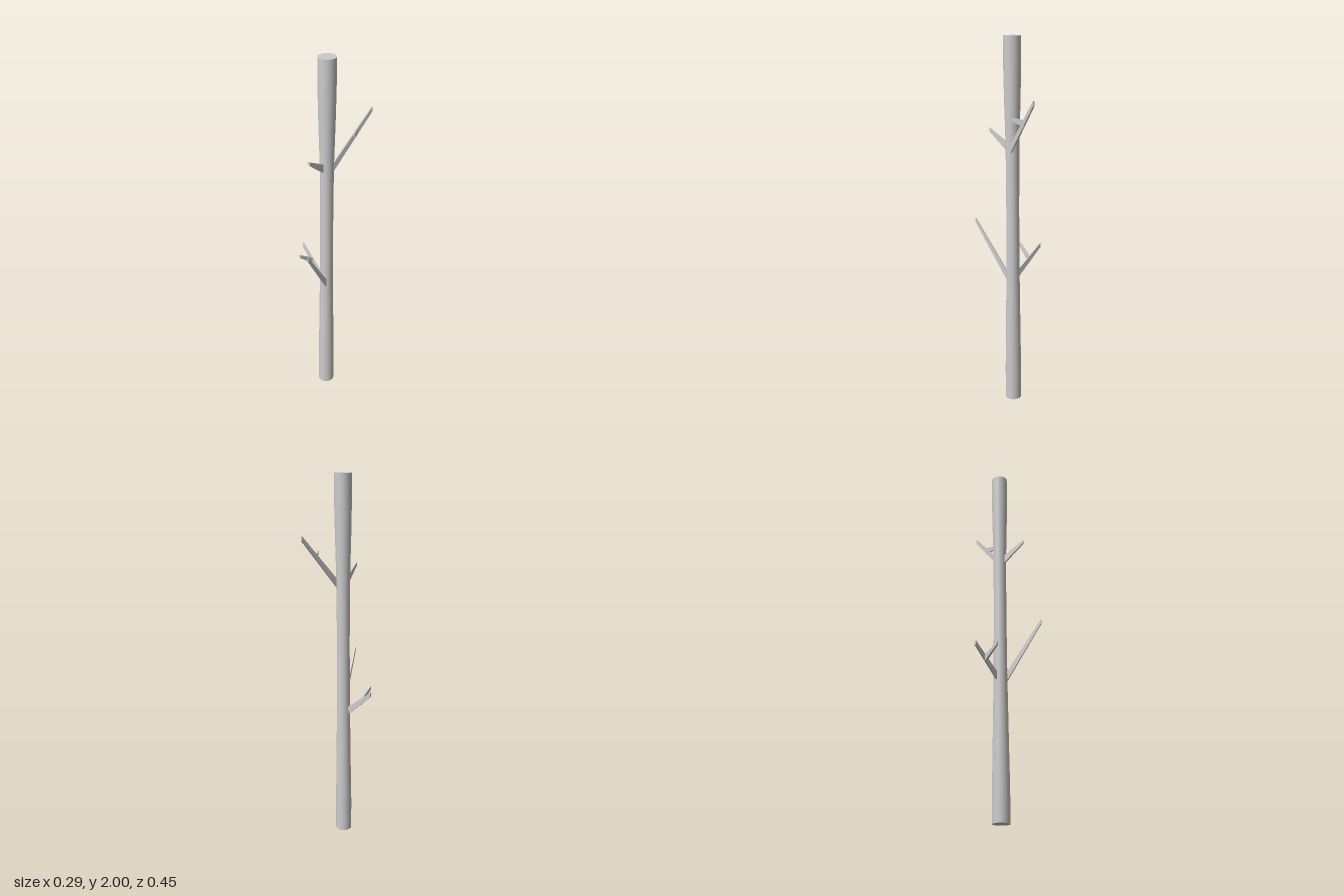
import * as THREE from 'three';

const material = new THREE.MeshStandardMaterial({ color: 0xcccccc });
const CX = 0.045, CZ = 0.016;

// Thin tapered beam from a to b; its ends are cut vertically. Sizes are [width, height].
function beam(name, a, b, startSize, endSize) {
  const A = new THREE.Vector3(...a), B = new THREE.Vector3(...b);
  const side = new THREE.Vector3(B.z - A.z, 0, A.x - B.x).normalize();
  const g = new THREE.BoxGeometry(1, 1, 1);
  const p = g.attributes.position;
  const v = new THREE.Vector3();
  for (let i = 0; i < p.count; i++) {
    const t = p.getZ(i) + 0.5;
    const w = THREE.MathUtils.lerp(startSize[0], endSize[0], t);
    const h = THREE.MathUtils.lerp(startSize[1], endSize[1], t);
    v.lerpVectors(A, B, t).addScaledVector(side, p.getX(i) * w);
    v.y += p.getY(i) * h;
    p.setXYZ(i, v.x, v.y, v.z);
  }
  g.computeVertexNormals();
  const mesh = new THREE.Mesh(g, material);
  mesh.name = name;
  return mesh;
}

export function createModel() {
  const model = new THREE.Group();
  model.name = 'bareTree';

  // Trunk, slimmer in the middle
  const trunk = new THREE.Group();
  trunk.name = 'trunk';
  trunk.position.set(CX, 0, CZ);
  const profile = [
    [0.044, 0], [0.044, 0.18], [0.041, 0.37], [0.036, 0.74], [0.034, 1.1],
    [0.035, 1.45], [0.041, 1.68], [0.044, 1.84], [0.044, 2],
  ].map(([r, y]) => new THREE.Vector2(r, y));
  const bark = new THREE.Mesh(new THREE.LatheGeometry(profile, 32), material);
  bark.name = 'bark';
  trunk.add(bark);

  // Flat cut ends
  for (const [name, y, turn] of [['topCut', 2, -1], ['bottomCut', 0, 1]]) {
    const cap = new THREE.Mesh(new THREE.CircleGeometry(0.044, 32), material);
    cap.name = name;
    cap.position.y = y;
    cap.rotation.x = turn * Math.PI / 2;
    trunk.add(cap);
  }
  model.add(trunk);

  // Branches and their side twigs
  model.add(
    beam('lowerRightBranch', [0.02, 0.737, 0.02], [-0.146, 0.879, 0.02], [0.009, 0.045], [0.009, 0.024]),
    beam('lowerRightTwig', [-0.071, 0.813, 0.02], [-0.072, 0.876, 0.105], [0.016, 0.032], [0.009, 0.018]),
    beam('lowerFrontBranch', [0.066, 0.739, 0.036], [0.141, 1.03, 0.222], [0.01, 0.05], [0.007, 0.024]),
    beam('upperFrontBranch', [0.05, 1.442, 0.04], [0.083, 1.525, 0.16], [0.01, 0.048], [0.009, 0.018]),
    beam('upperBackBranch', [0.069, 1.437, 0.004], [0.101, 1.7, -0.223], [0.009, 0.046], [0.008, 0.026]),
    beam('upperBackTwig', [0.089, 1.595, -0.135], [0.126, 1.612, -0.086], [0.009, 0.034], [0.007, 0.018]),
  );
  return model;
}
